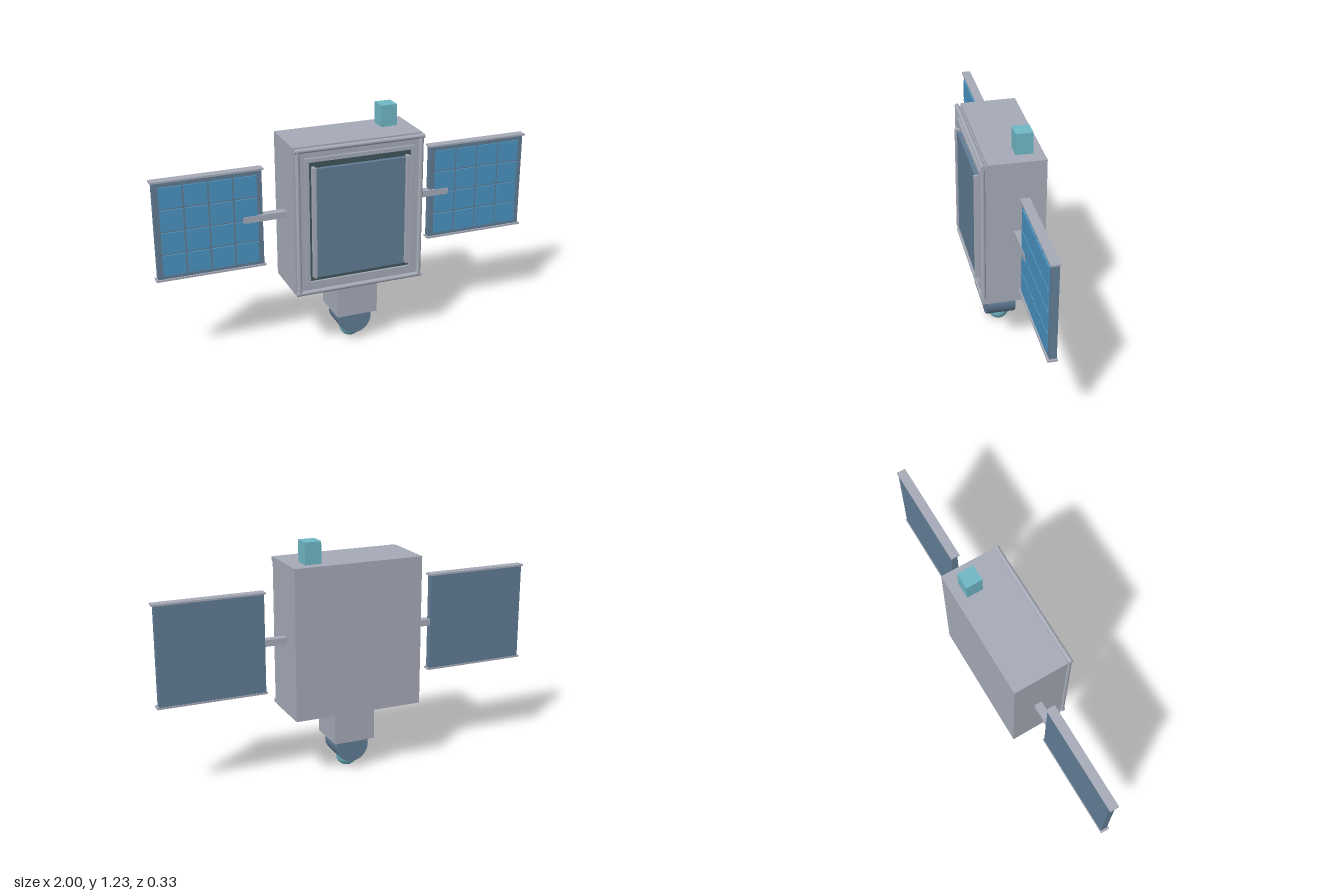
import * as THREE from 'three';

const mat = (name, color) => {
  const m = new THREE.MeshStandardMaterial({ color });
  m.name = name;
  return m;
};

export function createModel() {
  const root = new THREE.Group();
  root.name = 'satellite';
  const grey = mat('light grey', 0xa6abb8);
  const slate = mat('slate blue', 0x627d96);
  const cellBlue = mat('cell blue', 0x4a94c2);
  const teal = mat('teal', 0x70b8c6);
  const dark = mat('dark teal', 0x40565c);

  const add = (name, geo, material, parent = root) => {
    const mesh = new THREE.Mesh(geo, material);
    mesh.name = name;
    parent.add(mesh);
    return mesh;
  };
  // Box given by its minimum and maximum on each axis
  const box = (name, material, [x0, x1], [y0, y1], [z0, z1], parent = root) => {
    const mesh = add(name, new THREE.BoxGeometry(x1 - x0, y1 - y0, z1 - z0), material, parent);
    mesh.position.set((x0 + x1) / 2, (y0 + y1) / 2, (z0 + z1) / 2);
    return mesh;
  };

  // Main body
  box('body', grey, [-0.338, 0.338], [0.347, 1.118], [-0.166, 0.118]);
  box('antennaBlock', teal, [0.18, 0.265], [1.118, 1.228], [-0.115, -0.03]);

  // Front hatch: concentric rectangular rings around a raised screen
  const hatch = new THREE.Group();
  hatch.name = 'hatch';
  hatch.position.y = 0.7325;
  root.add(hatch);
  const rect = (p, w, h) =>
    p.moveTo(-w, -h).lineTo(w, -h).lineTo(w, h).lineTo(-w, h).closePath();
  const ring = (name, material, outer, inner, z0, z1) => {
    const shape = rect(new THREE.Shape(), ...outer);
    shape.holes.push(rect(new THREE.Path(), ...inner));
    const geo = new THREE.ExtrudeGeometry(shape, { depth: z1 - z0, bevelEnabled: false });
    add(name, geo, material, hatch).position.z = z0;
  };
  ring('framePlate', grey, [0.325, 0.373], [0.268, 0.313], 0.117, 0.135);
  ring('innerRim', grey, [0.288, 0.333], [0.268, 0.313], 0.134, 0.148);
  for (const s of [-1, 1]) {
    const rail = add('horizontalRail', new THREE.CylinderGeometry(0.012, 0.012, 0.676, 12), grey, hatch);
    rail.rotation.z = Math.PI / 2;
    rail.position.set(0, s * 0.373, 0.138);
    const post = add('verticalRail', new THREE.CylinderGeometry(0.012, 0.012, 0.746, 12), grey, hatch);
    post.position.set(s * 0.323, 0, 0.138);
    box('screenRail', grey, [s * 0.246 - 0.008, s * 0.246 + 0.008], [-0.288, 0.288], [0.13, 0.166], hatch);
  }
  box('recess', dark, [-0.268, 0.268], [-0.313, 0.313], [0.117, 0.136], hatch);
  box('screen', slate, [-0.232, 0.232], [-0.288, 0.28], [0.13, 0.157], hatch);

  // Solar wings, built on the left and mirrored by sign
  for (const s of [-1, 1]) {
    const wing = new THREE.Group();
    wing.name = s > 0 ? 'leftWing' : 'rightWing';
    root.add(wing);
    const span = (a, b) => (s > 0 ? [a, b] : [-b, -a]);
    box('arm', grey, span(0.33, 0.555), [0.716, 0.749], [-0.05, -0.009], wing);
    box('panel', slate, span(0.453, 0.99), [0.478, 0.985], [-0.055, -0.02], wing);
    for (const y of [0.475, 0.981]) {
      box('edgeRail', grey, span(0.445, 1), [y, y + 0.009], [-0.058, -0.011], wing);
    }
    for (let i = 0; i < 4; i++) {
      for (let j = 0; j < 4; j++) {
        const x = 0.481 + i * 0.123;
        const y = 0.503 + j * 0.116;
        box('solarCell', cellBlue, span(x, x + 0.112), [y, y + 0.106], [-0.021, -0.012], wing);
      }
    }
  }

  // Sensor below the body: neck, round-bottomed housing and lens
  box('neck', grey, [-0.109, 0.109], [0.168, 0.348], [-0.11, 0.102]);
  const housing = add('sensorHousing', new THREE.CylinderGeometry(0.088, 0.088, 0.152, 32), slate);
  housing.rotation.x = Math.PI / 2;
  housing.position.set(0, 0.134, -0.005);
  const lens = add('lens', new THREE.SphereGeometry(0.056, 24, 16), teal);
  lens.position.set(0, 0.058, -0.005);
  return root;
}
